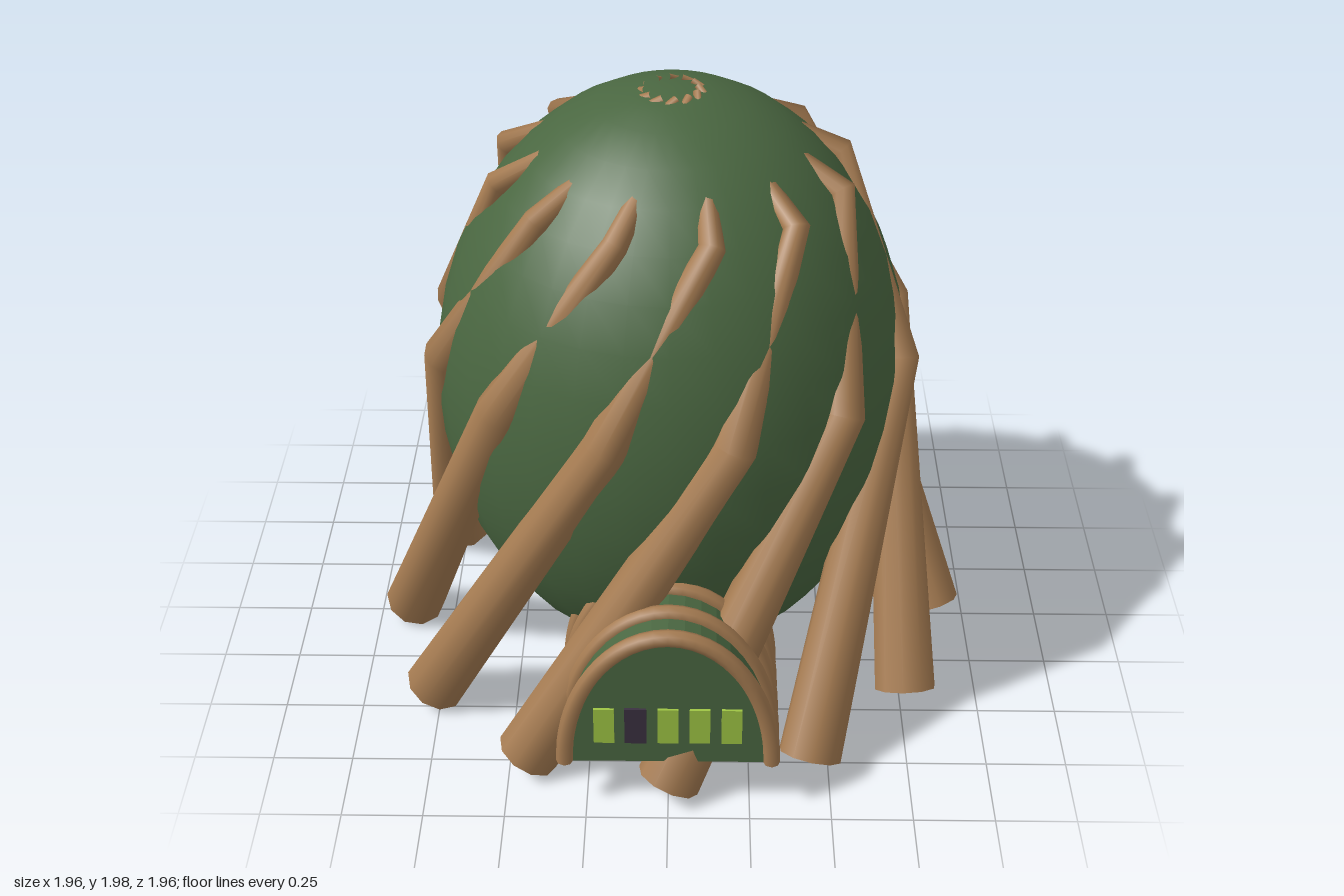
import * as THREE from 'three';

const mat = (name, color) => {
  const m = new THREE.MeshStandardMaterial({ color });
  m.name = name;
  return m;
};

// Smooth tapered tube through a few rings { p, r }, with a flat cap at the first ring.
function taperedTube(rings, sides) {
  const pos = [], idx = [], n = rings.length;
  rings.forEach(({ p, r }, i) => {
    const inDir = p.clone().sub(rings[Math.max(i - 1, 0)].p).normalize();
    const outDir = rings[Math.min(i + 1, n - 1)].p.clone().sub(p).normalize();
    const t = inDir.add(outDir).normalize();
    const b = t.clone().cross(new THREE.Vector3(p.x, 0, p.z)).normalize();
    const a = b.clone().cross(t);
    for (let j = 0; j < sides; j++) {
      const f = (j / sides) * Math.PI * 2;
      const v = p.clone().addScaledVector(a, r * Math.cos(f)).addScaledVector(b, r * Math.sin(f));
      pos.push(v.x, v.y, v.z);
    }
  });
  for (let i = 0; i < n - 1; i++) {
    for (let j = 0; j < sides; j++) {
      const k = (j + 1) % sides;
      const q = i * sides, w = q + sides;
      idx.push(q + j, q + k, w + j, q + k, w + k, w + j);
    }
  }
  // Foot cap with its own vertices, so its edge stays sharp
  const c = pos.length / 3;
  pos.push(...pos.slice(0, sides * 3), ...rings[0].p.toArray());
  for (let j = 0; j < sides; j++) idx.push(c + sides, c + (j + 1) % sides, c + j);
  const g = new THREE.BufferGeometry();
  g.setAttribute('position', new THREE.Float32BufferAttribute(pos, 3));
  g.setIndex(idx);
  g.computeVertexNormals();
  return g;
}

export function createModel() {
  const green = mat('mossGreen', 0x4a6741);
  const wood = mat('rootBrown', 0xa67c52);
  const glow = mat('windowLime', 0x9fc544);
  const dark = mat('doorDark', 0x3a3040);

  const model = new THREE.Group();
  model.name = 'rootPod';
  const add = (parent, name, geo, material, x = 0, y = 0, z = 0) => {
    const m = new THREE.Mesh(geo, material);
    m.name = name;
    m.position.set(x, y, z);
    parent.add(m);
    return m;
  };

  // Egg-shaped pod
  const pod = new THREE.SphereGeometry(1, 32, 20).scale(0.745, 0.98, 0.745);
  add(model, 'pod', pod, green, 0, 1.01, 0);

  // Twelve twisting roots: [angle in degrees, distance from axis, height, thickness]
  const path = [
    [0, 0.885, 0.06, 0.1],
    [45, 0.72, 1.17, 0.07],
    [73, 0.53, 1.73, 0.04],
    [130, 0.078, 1.985, 0.012],
  ];
  const rootGeo = taperedTube(path.map(([deg, d, y, r]) => {
    const f = THREE.MathUtils.degToRad(deg);
    return { p: new THREE.Vector3(d * Math.sin(f), y, d * Math.cos(f)), r };
  }), 10);
  const roots = new THREE.Group();
  roots.name = 'roots';
  model.add(roots);
  for (let i = 0; i < 12; i++) {
    add(roots, 'root', rootGeo, wood).rotation.y = (i / 12) * Math.PI * 2;
  }

  // Arched entrance porch
  const porch = new THREE.Group();
  porch.name = 'porch';
  model.add(porch);
  const base = 0.18, halfWidth = 0.315, rise = 0.48;
  const arch = [];
  for (let i = 0; i <= 20; i++) {
    const f = (i / 20) * Math.PI;
    arch.push(new THREE.Vector3(halfWidth * Math.cos(f), rise * Math.sin(f), 0));
  }
  const hall = new THREE.ExtrudeGeometry(
    new THREE.Shape(arch.map((p) => new THREE.Vector2(p.x, p.y))),
    { depth: 0.5, bevelEnabled: false },
  );
  add(porch, 'hall', hall, green, 0, base, 0.43);

  // Ribs over the porch, with closed feet
  const ribGeo = new THREE.TubeGeometry(new THREE.CatmullRomCurve3(arch), 32, 0.026, 8);
  const footGeo = new THREE.CircleGeometry(0.026, 8).rotateX(Math.PI / 2);
  for (let i = 0; i < 5; i++) {
    const z = 0.928 - i * 0.115;
    add(porch, 'rib', ribGeo, wood, 0, base, z);
    for (const s of [-1, 1]) add(porch, 'ribFoot', footGeo, wood, s * halfWidth, base, z);
  }

  // Windows and dark door on the porch front
  const pane = new THREE.BoxGeometry(0.062, 0.13, 0.009);
  [-0.193, 0, 0.096, 0.192].forEach((x) => add(porch, 'window', pane, glow, x, 0.325, 0.934));
  add(porch, 'door', new THREE.BoxGeometry(0.066, 0.132, 0.009), dark, -0.098, 0.325, 0.934);

  return model;
}
